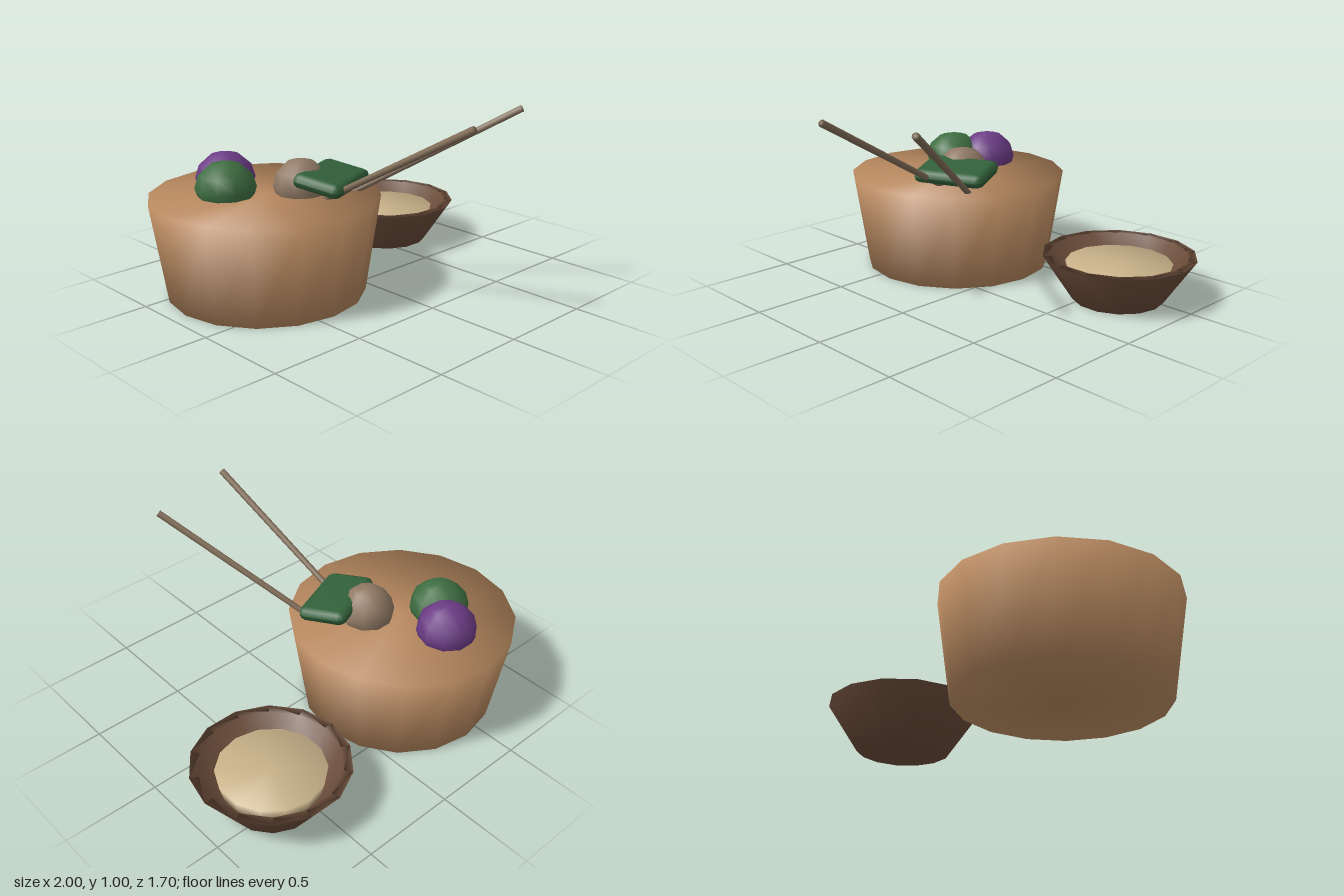
import * as THREE from 'three';
import { mergeVertices } from 'three/addons/utils/BufferGeometryUtils.js';
import { RoundedBoxGeometry } from 'three/addons/geometries/RoundedBoxGeometry.js';

// Weld shared corners so the low-poly forms shade smoothly across their edges
function weld(geometry) {
  geometry.deleteAttribute('normal');
  geometry.deleteAttribute('uv');
  const welded = mergeVertices(geometry, 1e-4);
  welded.computeVertexNormals();
  return welded;
}

export function createModel() {
  const group = new THREE.Group();

  function add(name, geometry, color, x, y, z) {
    const mesh = new THREE.Mesh(weld(geometry), new THREE.MeshStandardMaterial({ color }));
    mesh.name = name;
    mesh.position.set(x, y, z);
    group.add(mesh);
    return mesh;
  }

  // Large tapered tub with a closed top
  add('tub', new THREE.CylinderGeometry(0.585, 0.507, 0.51, 16), 0xb98a60, -0.415, 0.255, -0.27);

  // Small side bowl with a thick wall
  const profile = [[0, 0], [0.235, 0], [0.392, 0.235], [0.345, 0.235], [0.25, 0.1], [0, 0.1]]
    .map(([r, y]) => new THREE.Vector2(r, y));
  const bowl = add('sideBowl', new THREE.LatheGeometry(profile, 14), 0x694b39, 0.607, 0, -0.425);
  bowl.rotation.y = Math.PI / 2;
  add('bowlFilling', new THREE.CylinderGeometry(0.272, 0.25, 0.09, 14), 0xc6b088, 0.607, 0.145, -0.425);

  // Rounded morsels resting in the tub
  const morsels = [
    ['greenMorsel', 0x3f6e42, 0.155, -0.57, -0.385],
    ['purpleMorsel', 0x6c3c86, 0.155, -0.455, -0.54],
    ['brownMorsel', 0x917a65, 0.142, -0.265, -0.165],
  ];
  for (const [name, color, r, x, z] of morsels) {
    const ball = new THREE.SphereGeometry(r, 10, 6);
    ball.scale(1, 0.136 / r, 1);
    add(name, ball, color, x, 0.55, z);
  }

  // Tilted leaf slab with bevelled edges
  const leaf = add('leafSlab', new RoundedBoxGeometry(0.39, 0.075, 0.26, 1, 0.035), 0x32603a, -0.175, 0.59, -0.033);
  leaf.rotation.set(0.17, 0.37, 0, 'YXZ');

  // Pair of sticks leaning out over the front
  const sticks = [
    ['leftStick', [-0.13, 0.41, -0.14], [0.367, 0.98, 0.715]],
    ['rightStick', [-0.275, 0.41, -0.17], [-0.137, 0.98, 0.84]],
  ];
  for (const [name, a, b] of sticks) {
    const start = new THREE.Vector3(...a);
    const axis = new THREE.Vector3(...b).sub(start);
    const middle = start.clone().addScaledVector(axis, 0.5);
    const stick = add(name, new THREE.CylinderGeometry(0.018, 0.015, axis.length(), 8), 0x826e59, middle.x, middle.y, middle.z);
    stick.quaternion.setFromUnitVectors(new THREE.Vector3(0, 1, 0), axis.normalize());
  }

  return group;
}
